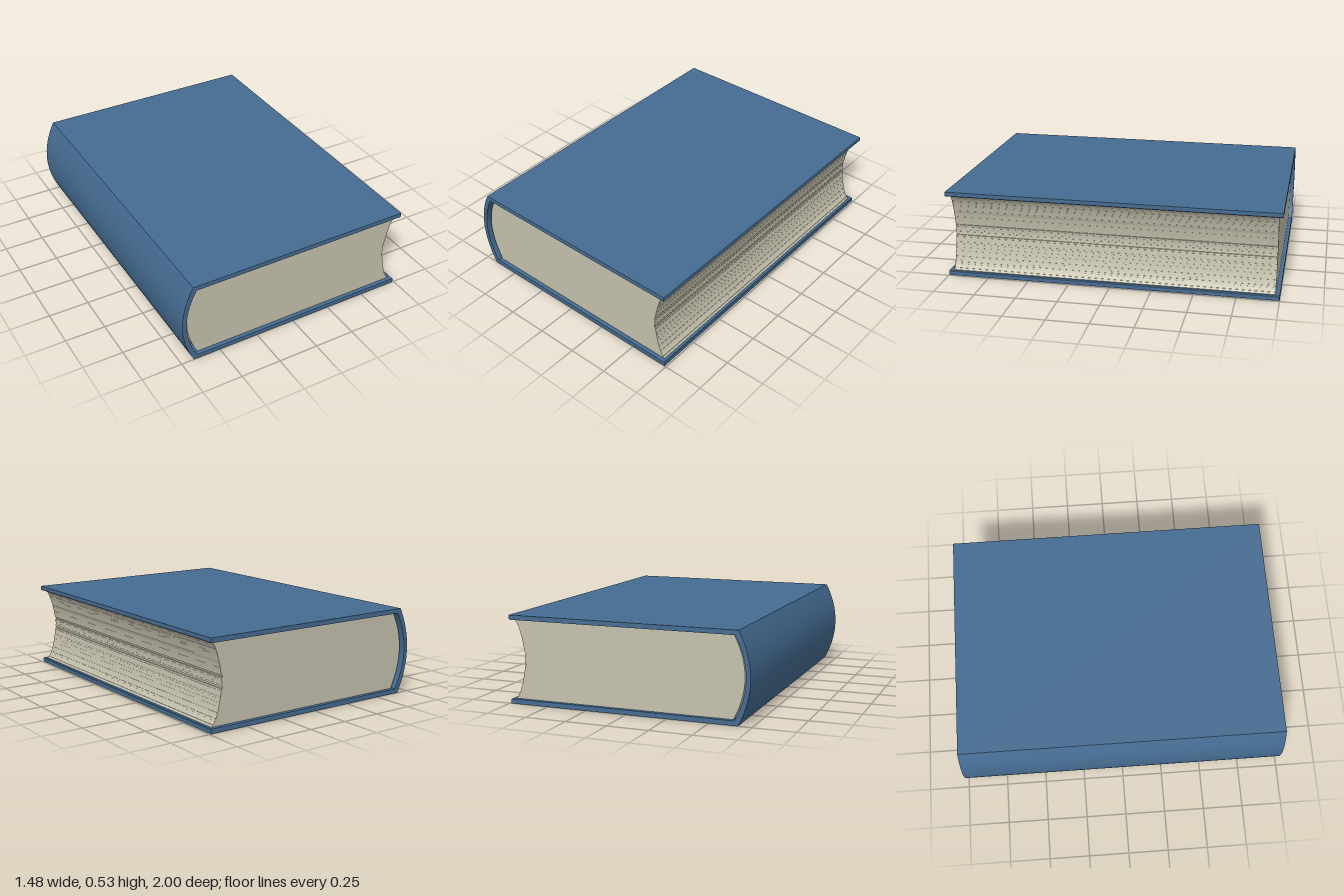
import * as THREE from 'three';
import { toCreasedNormals } from 'three/addons/utils/BufferGeometryUtils.js';

const H = 0.53, BOARD = 0.028, MID = H / 2;

// Extrudes an outline in x and y along z, centred on z = 0
function slab(name, points, length, color, crease) {
  const shape = new THREE.Shape(points.map(([x, y]) => new THREE.Vector2(x, y)));
  const geometry = new THREE.ExtrudeGeometry(shape, { depth: length, bevelEnabled: false });
  geometry.translate(0, 0, -length / 2);
  const mesh = new THREE.Mesh(
    toCreasedNormals(geometry, crease),
    new THREE.MeshStandardMaterial({ color })
  );
  mesh.name = name;
  return mesh;
}

// Rounded back: a curve bulging to -x, running from y0 to y1
function backCurve(xEdge, xMid, y0, y1, steps = 20) {
  const points = [];
  for (let i = 0; i <= steps; i++) {
    const t = (2 * i) / steps - 1;
    points.push([xMid + (xEdge - xMid) * t * t, y0 + ((y1 - y0) * i) / steps]);
  }
  return points;
}

// Hollow fore edge, cut into slightly uneven bundles of pages
function foreEdge(y0, y1, layers = 44) {
  let seed = 7;
  const random = () => (seed = (seed * 16807) % 2147483647) / 2147483647;
  const edgeX = (y) => {
    const t = Math.min(1, Math.abs(y - MID) / (MID - y0));
    return 0.652 + 0.048 * Math.pow(t, 1.4) + 0.02 * Math.pow(t, 8);
  };
  const points = [];
  for (let i = 0; i < layers; i++) {
    const a = y0 + ((y1 - y0) * i) / layers;
    const b = y0 + ((y1 - y0) * (i + 0.98)) / layers;
    const deep = i === 19 || i === 25; // two wider gaps between pages
    const offset = deep ? -0.008 : -0.0025 * random();
    points.push([edgeX(a) + offset, a], [edgeX(b) + offset, i === layers - 1 ? y1 : b]);
  }
  return points;
}

export function createModel() {
  const book = new THREE.Group();
  book.name = 'book';

  // Both boards and the rounded spine as one C-shaped case
  const caseOutline = [
    [0.74, 0],
    [0.74, BOARD - 0.004],
    [0.736, BOARD],
    ...backCurve(-0.648, -0.714, BOARD, H - BOARD),
    [0.736, H - BOARD],
    [0.74, H - BOARD + 0.004],
    [0.74, H],
    ...backCurve(-0.67, -0.74, 0, H).reverse(),
  ];
  book.add(slab('cover', caseOutline, 2, 0x456c92, 0.6));

  // Page block, with a narrow gap behind the spine
  const pageOutline = [
    ...foreEdge(BOARD, H - BOARD),
    ...backCurve(-0.635, -0.7, BOARD, H - BOARD).reverse(),
  ];
  book.add(slab('pages', pageOutline, 1.95, 0xc6c2ae, 0.4));

  return book;
}
